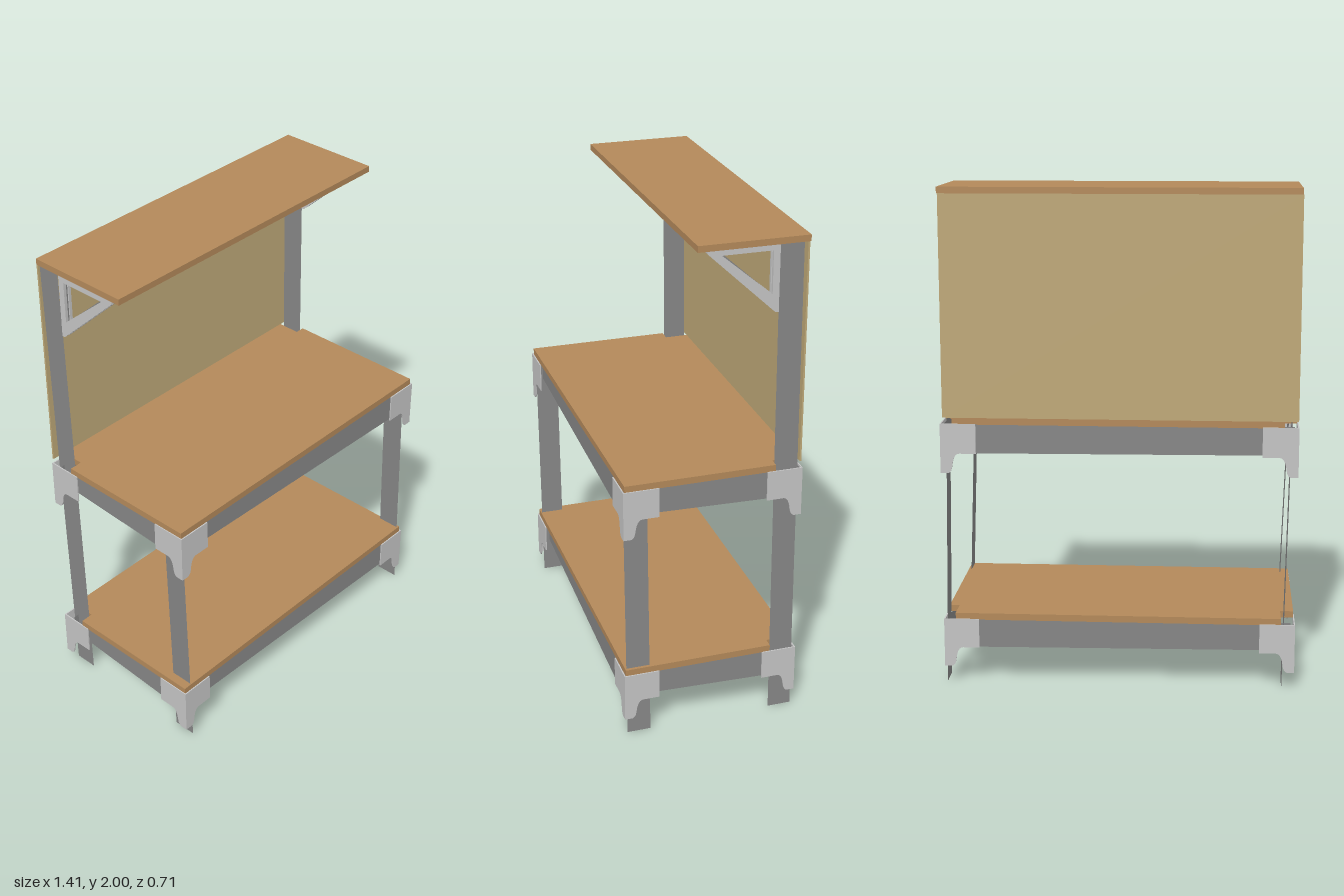
import * as THREE from 'three';

const material = (name, color, side = THREE.FrontSide) => {
  const m = new THREE.MeshStandardMaterial({ color, side });
  m.name = name;
  return m;
};

export function createModel() {
  const wood = material('wood', 0xb3895a);
  const board = material('backboard tan', 0xbea878);
  const darkSteel = material('dark steel', 0x868686, THREE.DoubleSide);
  const lightSteel = material('light steel', 0xc4c4c4, THREE.DoubleSide);

  const model = new THREE.Group();
  model.name = 'workbench';
  const add = (parent, name, geometry, mat) => {
    const mesh = new THREE.Mesh(geometry, mat);
    mesh.name = name;
    parent.add(mesh);
    return mesh;
  };
  const box = (name, [x0, x1], [y0, y1], [z0, z1], mat) =>
    add(model, name, new THREE.BoxGeometry(x1 - x0, y1 - y0, z1 - z0)
      .translate((x0 + x1) / 2, (y0 + y1) / 2, (z0 + z1) / 2), mat);
  // Flat sheet metal through four corners
  const sheet = (name, a, b, c, d) => {
    const g = new THREE.BufferGeometry();
    g.setAttribute('position', new THREE.Float32BufferAttribute([...a, ...b, ...c, ...d], 3));
    g.setIndex([0, 1, 2, 0, 2, 3]);
    g.computeVertexNormals();
    add(model, name, g, darkSteel);
  };
  const extrude = (shape, depth) =>
    new THREE.ExtrudeGeometry(shape, { depth, bevelEnabled: false, curveSegments: 6 });
  const polygon = (points) => points.map(([x, y]) => new THREE.Vector2(x, y));

  // Shelf board, notched at the back corners for the tall legs
  const boardShape = new THREE.Shape(polygon([
    [-0.703, -0.35], [0.7, -0.35], [0.7, 0.25], [0.66, 0.25],
    [0.66, 0.352], [-0.65, 0.352], [-0.65, 0.25], [-0.703, 0.25],
  ]));
  const boardGeometry = extrude(boardShape, 0.027).rotateX(-Math.PI / 2);

  // Corner plate with a curved foot
  const plateShape = new THREE.Shape();
  plateShape.moveTo(0, 0);
  plateShape.lineTo(0.03, 0);
  plateShape.quadraticCurveTo(0.044, 0.004, 0.047, 0.03);
  plateShape.quadraticCurveTo(0.053, 0.08, 0.075, 0.08);
  plateShape.lineTo(0.142, 0.08);
  plateShape.lineTo(0.142, 0.2);
  plateShape.lineTo(0, 0.2);
  const plateA = extrude(plateShape, 0.005);
  const plateB = plateA.clone().rotateY(-Math.PI / 2).translate(0.005, 0, 0);

  // Two levels: board, rails and corner plates
  const corners = [[-1, -1], [-1, 1], [1, 1], [1, -1]];
  for (const [level, y] of [['lower', 0.265], ['upper', 1.07]]) {
    add(model, level + 'Shelf', boardGeometry, wood).position.y = y;
    const y0 = y - 0.117;
    const y1 = y - 0.001;
    for (const [name, z0, z1] of [['FrontRail', 0.315, 0.349], ['BackRail', -0.315, -0.349]])
      sheet(level + name, [-0.69, y0, z0], [0.69, y0, z1], [0.69, y1, z1], [-0.69, y1, z0]);
    for (const [name, xb, xf] of [['LeftRail', 0.695, 0.665], ['RightRail', -0.665, -0.695]])
      sheet(level + name, [xb, y0, -0.34], [xf, y0, 0.34], [xf, y1, 0.34], [xb, y1, -0.34]);
    corners.forEach(([sx, sz], i) => {
      const bracket = new THREE.Group();
      bracket.name = level + 'CornerPlate';
      bracket.position.set(sx * 0.707, y - 0.197, sz * 0.357);
      bracket.rotation.y = i * Math.PI / 2;
      add(bracket, 'longFace', plateA, lightSteel);
      add(bracket, 'sideFace', plateB, lightSteel);
      model.add(bracket);
    });
  }

  // Slightly leaning sheet legs, tall at the back
  for (const [name, top, z0, z1, leftX, rightX] of [
    ['frontLeg', 1.068, 0.345, 0.25, 0.66, -0.692],
    ['backLeg', 1.974, -0.25, -0.345, 0.668, -0.698],
  ]) {
    for (const [bottomX, topX] of [[0.698, leftX], [-0.657, rightX]])
      sheet(name, [bottomX, 0, z0], [bottomX, 0, z1], [topX, top, z1], [topX, top, z0]);
  }

  // Backboard and top shelf
  box('backboard', [-0.705, 0.697], [1.097, 1.975], [-0.354, -0.347], board);
  box('topShelf', [-0.703, 0.7], [1.975, 2], [-0.357, 0.073], wood);

  // Triangular brackets: two frame plates with a recessed web between
  const frame = new THREE.Shape(polygon([
    [0.035, 1.974], [0.035, 1.964], [-0.23, 1.715], [-0.243, 1.715], [-0.243, 1.974],
  ]));
  frame.holes.push(new THREE.Path(polygon([
    [-0.02, 1.952], [-0.217, 1.952], [-0.217, 1.785],
  ])));
  const web = new THREE.Shape(polygon([
    [0.015, 1.974], [0.01, 1.96], [-0.232, 1.735], [-0.243, 1.735], [-0.243, 1.974],
  ]));
  web.holes.push(new THREE.Path(polygon([
    [-0.025, 1.955], [-0.222, 1.955], [-0.222, 1.778],
  ])));
  const side = (shape, depth) => extrude(shape, depth).rotateY(-Math.PI / 2);
  const frameGeometry = side(frame, 0.012);
  const webGeometry = side(web, 0.01);
  for (const [name, x] of [['leftBracket', 0.692], ['rightBracket', -0.667]]) {
    const bracket = new THREE.Group();
    bracket.name = name;
    bracket.position.x = x;
    add(bracket, 'outerFrame', frameGeometry, lightSteel);
    add(bracket, 'web', webGeometry, darkSteel).position.x = -0.012;
    add(bracket, 'innerFrame', frameGeometry, lightSteel).position.x = -0.022;
    model.add(bracket);
  }

  return model;
}
